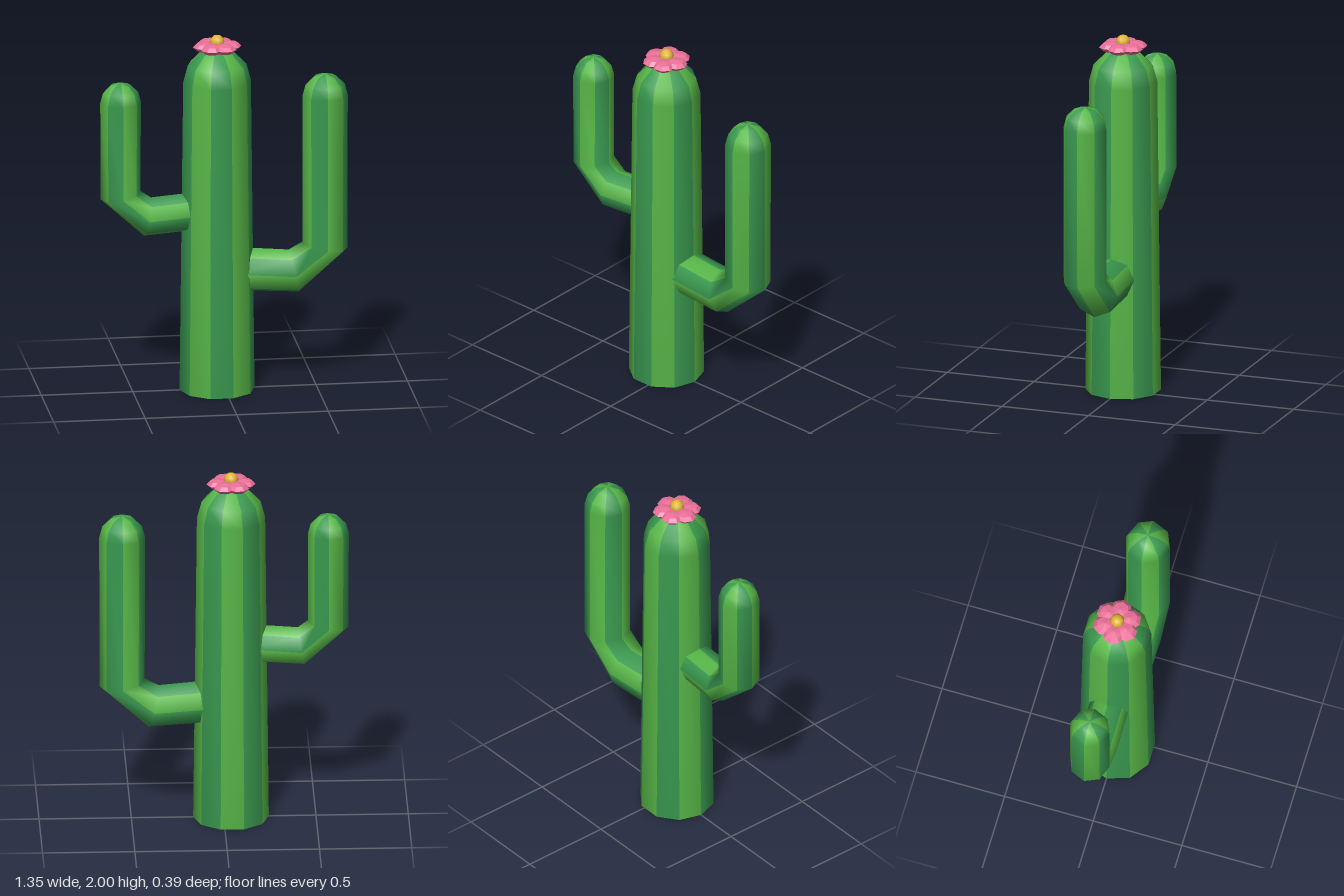
import * as THREE from 'three';

const paint = (color, flatShading = false) => new THREE.MeshStandardMaterial({ color, flatShading });

// Closed stem swept through rings [x, y, heading in degrees, radius], with alternating coloured strips.
// The first and last entries are the end points.
function stem(name, sides, rings, materials, parity) {
  const positions = [];
  const strips = [[], []];
  const first = rings[0], last = rings[rings.length - 1];
  const loops = rings.slice(1, -1);
  positions.push(first[0], first[1], 0);
  for (const [x, y, heading, r] of loops) {
    const a = THREE.MathUtils.degToRad(heading);
    for (let k = 0; k < sides; k++) {
      const t = (k / sides) * Math.PI * 2;
      const n = r * Math.cos(t);
      positions.push(x - Math.sin(a) * n, y + Math.cos(a) * n, r * Math.sin(t));
    }
  }
  positions.push(last[0], last[1], 0);
  const end = positions.length / 3 - 1;
  const id = (i, k) => 1 + i * sides + (k % sides);
  for (let k = 0; k < sides; k++) {
    const strip = strips[(k + parity) % 2];
    strip.push(0, id(0, k + 1), id(0, k));
    for (let i = 0; i < loops.length - 1; i++) {
      const a = id(i, k), b = id(i, k + 1), c = id(i + 1, k + 1), d = id(i + 1, k);
      strip.push(a, b, d, b, c, d);
    }
    strip.push(end, id(loops.length - 1, k), id(loops.length - 1, k + 1));
  }
  const geometry = new THREE.BufferGeometry();
  geometry.setAttribute('position', new THREE.Float32BufferAttribute(positions, 3));
  geometry.setIndex([...strips[0], ...strips[1]]);
  geometry.addGroup(0, strips[0].length, 0);
  geometry.addGroup(strips[0].length, strips[1].length, 1);
  geometry.computeVertexNormals();
  const mesh = new THREE.Mesh(geometry, materials);
  mesh.name = name;
  return mesh;
}

// Rounded upright tip: the full ring, two shrinking rings and the end point.
function dome(x, y, r) {
  const rings = [0, 30, 60].map((deg) => {
    const t = THREE.MathUtils.degToRad(deg);
    return [x, y + r * Math.sin(t), 90, r * Math.cos(t)];
  });
  return [...rings, [x, y + r, 90, 0]];
}

export function createModel() {
  const model = new THREE.Group();
  model.name = 'cactus';
  const greens = [paint(0x3a9a50), paint(0x58b848)];
  const cx = -0.04;

  // Trunk
  model.add(stem('trunk', 10, [
    [cx, 0, 90, 0], [cx, 0, 90, 0.205], ...dome(cx, 1.74, 0.185),
  ], greens, 0));

  // Arms
  model.add(stem('leftArm', 8, [
    [0, 0.68, -5, 0], [0.02, 0.677, -5, 0.122], [0.378, 0.65, 13, 0.123],
    [0.55, 0.787, 81, 0.124], ...dome(0.55, 1.635, 0.124),
  ], greens, 1));
  model.add(stem('rightArm', 8, [
    [-0.08, 1.015, 184, 0], [-0.1, 1.013, 184, 0.107], [-0.42, 0.988, 170, 0.109],
    [-0.567, 1.115, 100, 0.111], ...dome(-0.567, 1.64, 0.111),
  ], greens, 1));

  // Flower
  const flower = new THREE.Group();
  flower.name = 'flower';
  flower.position.set(cx, 1.935, 0);
  const pink = paint(0xec7099, true);
  const petalShape = new THREE.SphereGeometry(1, 8, 4).scale(0.068, 0.028, 0.062);
  for (let i = 0; i < 6; i++) {
    const a = (i / 6) * Math.PI * 2;
    const petal = new THREE.Mesh(petalShape, pink);
    petal.name = 'petal';
    petal.position.set(0.065 * Math.cos(a), 0, -0.065 * Math.sin(a));
    petal.rotation.y = a;
    flower.add(petal);
  }
  const heart = new THREE.Mesh(new THREE.SphereGeometry(0.04, 8, 6), paint(0xe2b535));
  heart.name = 'flowerCentre';
  heart.position.y = 0.025;
  flower.add(heart);
  model.add(flower);

  return model;
}
